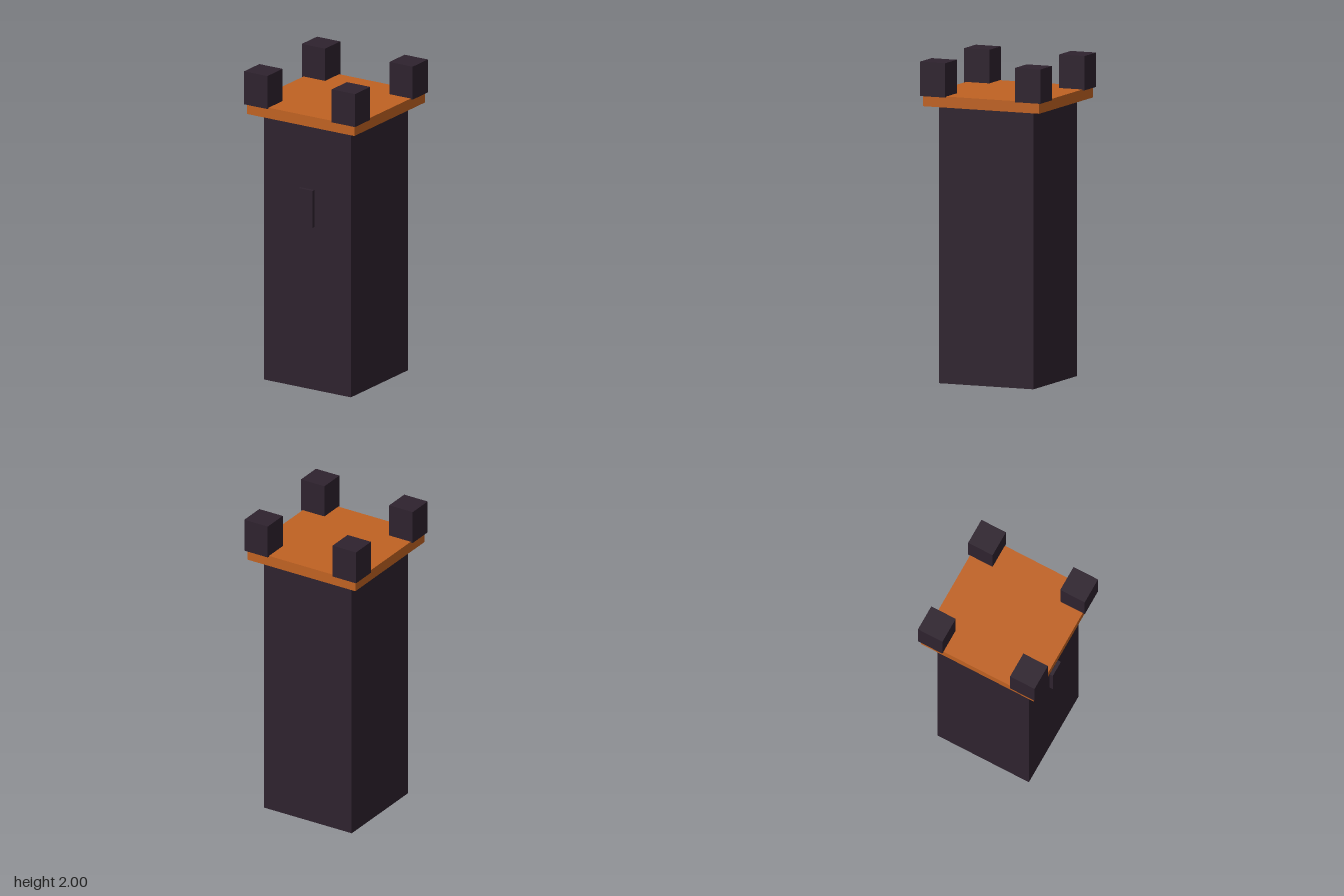
import * as THREE from 'three';

export function createModel() {
  const tower = new THREE.Group();
  tower.name = 'tower';

  const stone = new THREE.MeshStandardMaterial({ color: 0x2e222e });
  stone.name = 'dark stone';
  const trim = new THREE.MeshStandardMaterial({ color: 0xc06222 });
  trim.name = 'orange trim';

  // Box given by its size, bottom height and horizontal centre
  function addBox(name, material, [w, h, d], bottom, x = 0, z = 0) {
    const mesh = new THREE.Mesh(new THREE.BoxGeometry(w, h, d), material);
    mesh.name = name;
    mesh.position.set(x, bottom + h / 2, z);
    tower.add(mesh);
  }

  // Square shaft and overhanging platform
  addBox('shaft', stone, [0.64, 1.73, 0.64], 0);
  addBox('platform', trim, [0.788, 0.069, 0.788], 1.723);

  // Raised window slit on the front
  addBox('windowSlit', stone, [0.104, 0.24, 0.04], 1.052, 0, 0.322);

  // Corner battlements
  for (const [side, sx] of [['Left', 1], ['Right', -1]]) {
    for (const [end, sz] of [['front', 1], ['back', -1]]) {
      addBox(`${end}${side}Battlement`, stone, [0.171, 0.213, 0.171], 1.787, sx * 0.322, sz * 0.322);
    }
  }

  return tower;
}
